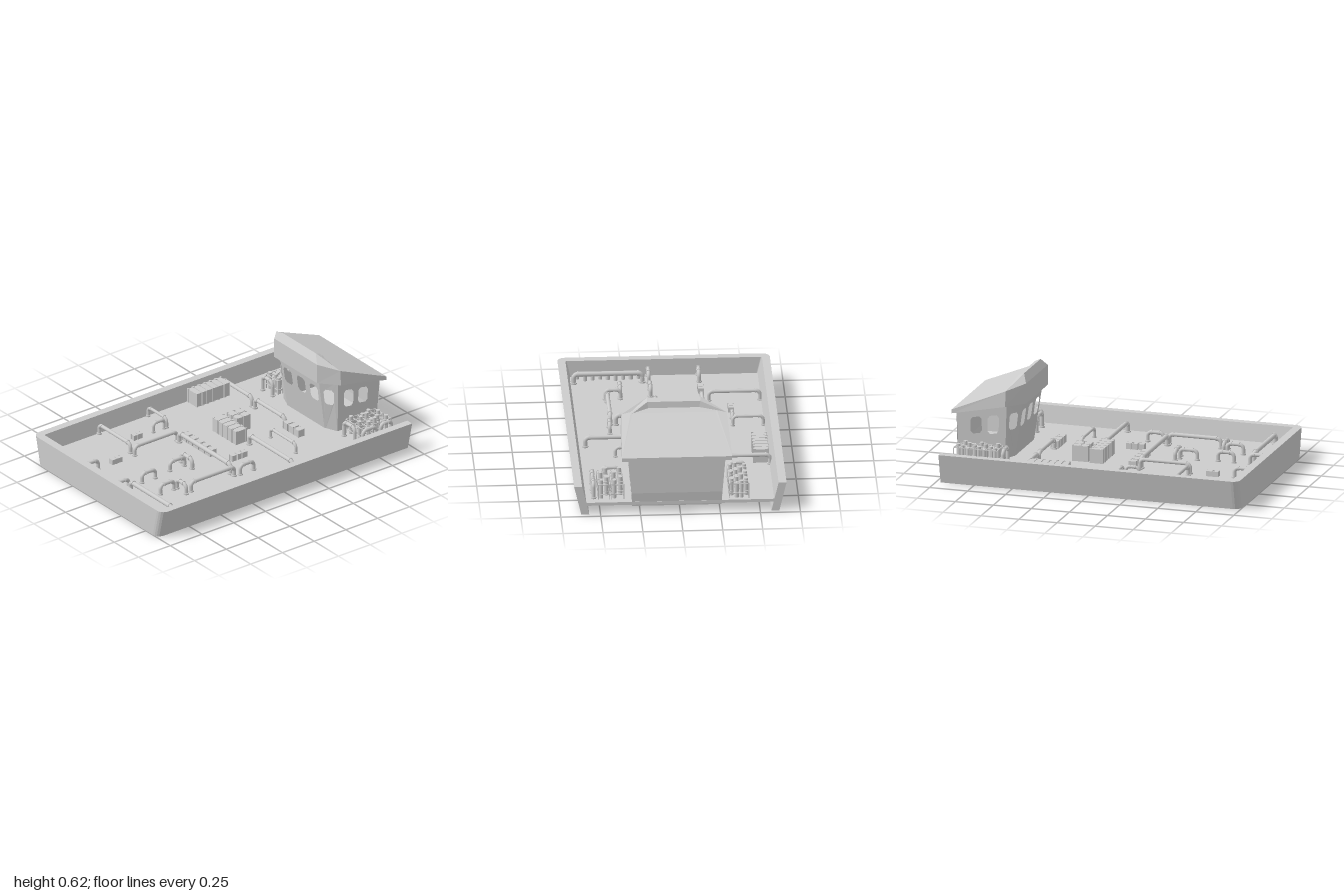
import * as THREE from 'three';

const flat = new THREE.MeshStandardMaterial({ color: 0xcccccc, flatShading: true, side: THREE.DoubleSide });
const smooth = new THREE.MeshStandardMaterial({ color: 0xcccccc });
const DECK = 0.08, CX = 0.022;

function add(parent, name, geo, x = 0, y = 0, z = 0, mat = flat) {
  const m = new THREE.Mesh(geo, mat);
  m.name = name;
  m.position.set(x, y, z);
  parent.add(m);
  return m;
}

function group(parent, name, x = 0, y = 0, z = 0) {
  const g = new THREE.Group();
  g.name = name;
  g.position.set(x, y, z);
  parent.add(g);
  return g;
}

const box = (p, name, w, h, d, x, y, z) => add(p, name, new THREE.BoxGeometry(w, h, d), x, y + h / 2, z);
const post = (p, name, r, h, x, y, z) => add(p, name, new THREE.CylinderGeometry(r, r, h, 12), x, y + h / 2, z, smooth);

// Skin between successive rows of points
function loft(rows) {
  const pos = [];
  for (let i = 0; i < rows.length - 1; i++)
    for (let j = 0; j < rows[i].length - 1; j++) {
      const a = rows[i][j], b = rows[i][j + 1], c = rows[i + 1][j + 1], d = rows[i + 1][j];
      pos.push(...a, ...b, ...c, ...a, ...c, ...d);
    }
  const g = new THREE.BufferGeometry();
  g.setAttribute('position', new THREE.Float32BufferAttribute(pos, 3));
  g.computeVertexNormals();
  return g;
}

// U-shaped hull line, open at the back
function hullLine(hx, zf, r, y) {
  const pts = [[-hx, y, -0.97]];
  for (const s of [-1, 1])
    for (let i = 0; i <= 5; i++) {
      const a = (s < 0 ? i : 5 - i) / 5 * Math.PI / 2;
      pts.push([s * (hx - r + r * Math.cos(a)), y, zf - r + r * Math.sin(a)]);
    }
  pts.push([hx, y, -0.97]);
  return pts;
}

function buildHull(root) {
  const g = group(root, 'hull');
  const rows = [hullLine(0.62, 1, 0.05, 0), hullLine(0.665, 1, 0.05, 0.19),
    hullLine(0.615, 0.947, 0.008, 0.19), hullLine(0.57, 0.947, 0.008, 0)];
  add(g, 'bulwark', loft([...rows, rows[0]]));
  for (const k of [0, rows[0].length - 1])
    add(g, 'bulwarkEnd', loft([[rows[0][k], rows[1][k]], [rows[3][k], rows[2][k]]]));
  box(g, 'deck', 1.176, 0.02, 1.918, 0, DECK - 0.02, -0.011);
}

// Flat wall with chamfered windows [u0, u1, v0, v1], stretched onto four corners
function wall(parent, name, bl, br, tr, tl, windows = []) {
  const shape = new THREE.Shape([[0, 0], [1, 0], [1, 1], [0, 1]].map(p => new THREE.Vector2(...p)));
  for (const [u0, u1, v0, v1] of windows) {
    const cu = (u1 - u0) * 0.2, cv = (v1 - v0) * 0.16;
    shape.holes.push(new THREE.Path([[u0 + cu, v0], [u1 - cu, v0], [u1, v0 + cv], [u1, v1 - cv],
      [u1 - cu, v1], [u0 + cu, v1], [u0, v1 - cv], [u0, v0 + cv]].map(p => new THREE.Vector2(...p))));
  }
  const geo = new THREE.ShapeGeometry(shape), p = geo.attributes.position;
  const [A, B, C, D] = [bl, br, tr, tl].map(q => new THREE.Vector3(...q));
  for (let i = 0; i < p.count; i++) {
    const u = p.getX(i), v = p.getY(i);
    const q = A.clone().lerp(B, u).lerp(D.clone().lerp(C, u), v);
    p.setXYZ(i, q.x, q.y, q.z);
  }
  geo.computeVertexNormals();
  add(parent, name, geo);
}

function buildCabin(root) {
  const g = group(root, 'cabin', CX);
  const flip = ([x, y, z]) => [-x, y, z];
  // Corners: front, side and back, at the bottom and top
  const f0 = [0.19, 0.05, -0.63], f1 = [0.2, 0.45, -0.572];
  const m0 = [0.275, 0.05, -0.665], m1 = [0.305, 0.45, -0.645];
  const b0 = [0.28, 0.05, -0.965], b1 = [0.305, 0.375, -0.975], bm = [0.285, 0.14, -0.975];
  wall(g, 'frontWall', flip(f0), f0, f1, flip(f1),
    [-0.136, 0, 0.132].map(x => [0.5 + (x - 0.041) / 0.394, 0.5 + (x + 0.041) / 0.394, 0.54, 0.81]));
  const corner = [[0.2, 0.78, 0.54, 0.81]];
  const side = [[0.15, 0.38, 0.5, 0.82], [0.5, 0.73, 0.52, 0.83]];
  wall(g, 'leftCornerWall', f0, m0, m1, f1, corner);
  wall(g, 'rightCornerWall', flip(f0), flip(m0), flip(m1), flip(f1), corner);
  wall(g, 'leftSideWall', m0, b0, b1, m1, side);
  wall(g, 'rightSideWall', flip(m0), flip(b0), flip(b1), flip(m1), side);
  add(g, 'backWall', loft([b0, bm, b1].map(p => [flip(p), p])));
  add(g, 'cabinFloor', loft([b0, m0, f0].map(p => [flip(p), p])));

  // Roof with an overhanging brim and raised front crest
  const row = (b, m, f) => [flip(b), flip(m), flip(f), f, m, b];
  const B0 = [0.345, 0.365, -0.995], M0 = [0.335, 0.435, -0.645], F0 = [0.22, 0.435, -0.545];
  const B1 = [0.345, 0.39, -0.995], M1 = [0.33, 0.535, -0.645], F1 = [0.22, 0.565, -0.545];
  const F2 = [0.168, 0.615, -0.575], F3 = [0.166, 0.6, -0.61], M3 = [0.27, 0.545, -0.635];
  const F4 = [0.16, 0.56, -0.615], M4 = [0.26, 0.54, -0.645];
  add(g, 'roofBrim', loft([row(B0, M0, F0), row(B1, M1, F1), row(B1, M1, F2), row(B1, M3, F3), row(B1, M4, F4)]));
  add(g, 'roofTop', loft([B1, M4, F4].map(p => [flip(p), p])));
  add(g, 'roofUnderside', loft([B0, M0, F0].map(p => [flip(p), p])));
  add(g, 'roofBackEdge', loft([B0, B1].map(p => [flip(p), p])));
}

// Pipe that rises from the deck, runs level and drops back down
function pipe(parent, x1, z1, x2, z2, r, h = 0.065) {
  const g = group(parent, 'pipe', (x1 + x2) / 2, DECK, (z1 + z2) / 2);
  g.rotation.y = Math.atan2(z1 - z2, x2 - x1);
  const half = Math.hypot(x2 - x1, z2 - z1) / 2, R = Math.min(0.028, half * 0.6);
  add(g, 'pipeRun', new THREE.CylinderGeometry(r, r, 2 * (half - R), 12), 0, h, 0, smooth).rotation.z = Math.PI / 2;
  for (const s of [0, 1]) {
    const end = group(g, 'pipeEnd');
    end.rotation.y = s * Math.PI;
    add(end, 'elbow', new THREE.TorusGeometry(R, r, 10, 8, Math.PI / 2), half - R, h - R, 0, smooth);
    post(end, 'pipeLeg', r, h - R, half, 0, 0);
    post(end, 'flange', r * 1.45, 0.009, half, 0, 0);
    add(end, 'collar', new THREE.CylinderGeometry(r * 1.25, r * 1.25, 0.008, 12), half - R, h, 0, smooth).rotation.z = Math.PI / 2;
  }
}

// Crate with proud corner posts
function crate(parent, x, z, w, d, h, y = DECK) {
  const g = group(parent, 'crate', x, y, z);
  box(g, 'crateBody', w * 0.92, h * 0.96, d * 0.92, 0, 0, 0);
  for (const sx of [-1, 1]) for (const sz of [-1, 1])
    box(g, 'cratePost', w * 0.16, h, d * 0.16, sx * w * 0.42, 0, sz * d * 0.42);
}

// Row of tall narrow boxes filling a rectangle
function crateBlock(parent, x0, x1, z0, z1, h, nx, nz) {
  const w = (x1 - x0) / nx, d = (z1 - z0) / nz;
  for (let i = 0; i < nx; i++) for (let j = 0; j < nz; j++)
    crate(parent, x0 + (i + 0.5) * w, z0 + (j + 0.5) * d, w * 0.96, d * 0.96, h);
}

// Open lattice rack holding upright bottles
function rack(parent, x0, x1, z0, z1, h, nx, nz, top) {
  const g = group(parent, 'bottleRack');
  const w = x1 - x0, d = z1 - z0, t = 0.005;
  for (let i = 0; i <= nx; i++) for (const y of [0.03, h])
    box(g, 'rackRail', t, t, d, x0 + w * i / nx, DECK + y, (z0 + z1) / 2);
  for (let j = 0; j <= nz; j++) {
    for (const y of [0.03, h]) box(g, 'rackRail', w, t, t, (x0 + x1) / 2, DECK + y, z0 + d * j / nz);
    for (const x of [x0, x1]) box(g, 'rackPost', t, h, t, x, DECK, z0 + d * j / nz);
  }
  for (let i = 0; i < nx; i++) for (let j = 0; j < nz; j++)
    if ((i * 2 + j) % 3) post(g, 'bottle', 0.013, top - DECK - 0.012 * ((i + j) % 3), x0 + w * (i + 0.5) / nx, DECK, z0 + d * (j + 0.5) / nz);
}

export function createModel() {
  const root = new THREE.Group();
  root.name = 'barge';
  buildHull(root);
  buildCabin(root);

  const pipes = group(root, 'deckPipes');
  for (const p of [
    [-0.59, -0.44, -0.29, -0.44, 0.013], [-0.26, -0.44, 0.05, -0.44, 0.013], [0.11, -0.28, 0.37, -0.28, 0.01],
    [0.1, -0.12, 0.55, -0.12, 0.014], [-0.58, 0.155, -0.39, 0.155, 0.01], [-0.39, 0.175, -0.39, 0.26, 0.01],
    [0.385, 0.065, 0.385, 0.17, 0.012], [-0.19, 0.21, 0.34, 0.21, 0.015], [-0.215, 0.21, -0.215, 0.54, 0.012],
    [0.375, 0.21, 0.375, 0.55, 0.013], [-0.58, 0.54, -0.26, 0.54, 0.012], [0.03, 0.36, 0.14, 0.36, 0.013],
    [0.08, 0.375, 0.08, 0.49, 0.012], [0.29, 0.595, 0.385, 0.595, 0.012], [0.1, 0.62, 0.1, 0.725, 0.012],
    [0.29, 0.62, 0.29, 0.725, 0.012], [-0.215, 0.83, -0.215, 0.935, 0.012], [0.1, 0.83, 0.1, 0.935, 0.012],
    [0.14, 0.845, 0.57, 0.845, 0.015]]) pipe(pipes, ...p);
  for (const p of [[-0.42, -0.625, -0.32, -0.625], [0.37, -0.66, 0.48, -0.66], [0.54, -0.9, 0.54, -0.82], [0.54, -0.78, 0.54, -0.68]])
    pipe(pipes, ...p, 0.012, 0.1);

  // Short posts behind the bow wall
  [0.91, 0.9, 0.9, 0.885, 0.9, 0.91, 0.9, 0.89, 0.92].forEach((z, i) => post(root, 'bowPost', 0.013, 0.04, 0.16 + i * 0.048, DECK, z));

  const cargo = group(root, 'cargo');
  for (const x of [0.08, 0.137, 0.195]) crate(cargo, x, -0.44, 0.05, 0.05, 0.05);
  for (const z of [0.005, 0.045, 0.088]) crate(cargo, 0.205, z, 0.036, 0.036, 0.04);
  for (let i = 0; i < 5; i++) crate(cargo, -0.182 + i * 0.061, 0.155, 0.05, 0.05, 0.045);
  for (const z of [0.372, 0.408]) crate(cargo, -0.39, z, 0.036, 0.034, 0.035);
  for (const z of [0.67, 0.71]) crate(cargo, -0.217, z, 0.038, 0.038, 0.035);
  crateBlock(cargo, -0.17, -0.06, -0.255, -0.145, 0.105, 2, 2);
  crateBlock(cargo, -0.18, 0.062, -0.135, -0.043, 0.095, 5, 1);
  crateBlock(cargo, -0.588, -0.484, -0.42, -0.155, 0.095, 1, 6);

  rack(cargo, -0.43, -0.31, -0.945, -0.66, 0.095, 4, 8, 0.205);
  rack(cargo, 0.35, 0.43, -0.92, -0.69, 0.095, 2, 5, 0.215);
  rack(cargo, 0.44, 0.51, -0.92, -0.69, 0.095, 2, 5, 0.215);
  return root;
}
